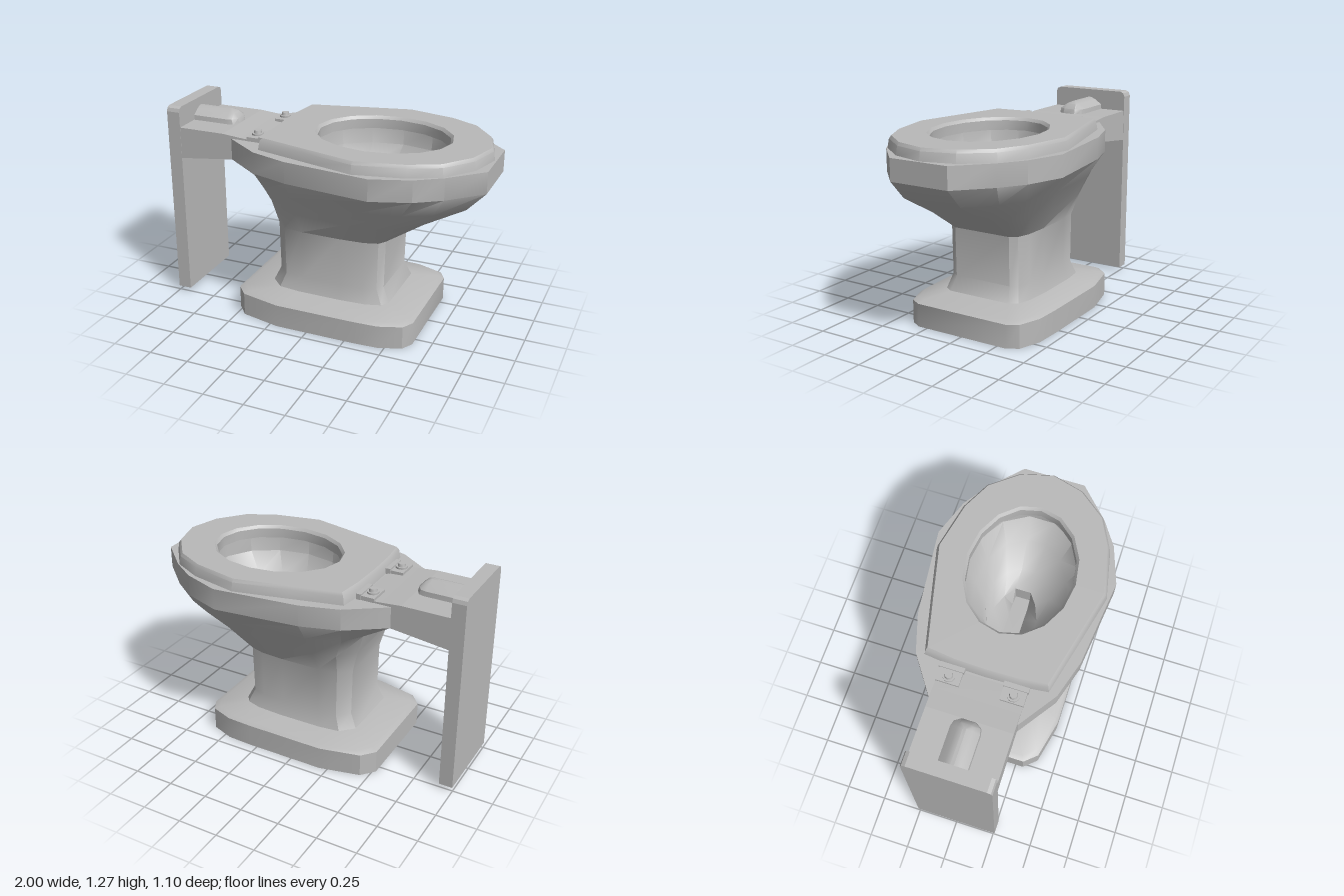
import * as THREE from 'three';
import { toCreasedNormals } from 'three/addons/utils/BufferGeometryUtils.js';

const porcelain = new THREE.MeshStandardMaterial({ color: 0xb9b9b9 });
porcelain.name = 'grey porcelain';

// Full ring from its +z half, listed front to back as [x, z]
function ring(y, half) {
  const back = half.filter(p => p[1] > 0).reverse().map(([x, z]) => [x, -z]);
  return [...half, ...back].map(([x, z]) => [x, y, z]);
}

// Half ellipse; offset 0 puts points on the axis, 0.5 straddles it
function halfEllipse(cx, rx, rz, n, offset) {
  const pts = [];
  const count = offset ? n : n + 1;
  for (let i = 0; i < count; i++) {
    const a = (i + offset) * Math.PI / n;
    const onAxis = !offset && (i === 0 || i === n);
    pts.push([cx + rx * Math.cos(a), onAxis ? 0 : rz * Math.sin(a)]);
  }
  return pts;
}

// Skin between rings, optionally closing the first and last
function loft(rings, capStart, capEnd) {
  const n = rings[0].length, pos = rings.flat(2), idx = [];
  for (let r = 0; r < rings.length - 1; r++) {
    for (let i = 0; i < n; i++) {
      const a = r * n + i, b = r * n + (i + 1) % n;
      idx.push(a, a + n, b, b, a + n, b + n);
    }
  }
  const cap = (r, flip) => {
    const c = pos.length / 3;
    for (let k = 0; k < 3; k++) pos.push(rings[r].reduce((s, p) => s + p[k], 0) / n);
    for (let i = 0; i < n; i++) {
      const a = r * n + i, b = r * n + (i + 1) % n;
      idx.push(c, flip ? b : a, flip ? a : b);
    }
  };
  if (capStart) cap(0, false);
  if (capEnd) cap(rings.length - 1, true);
  const g = new THREE.BufferGeometry();
  g.setAttribute('position', new THREE.Float32BufferAttribute(pos, 3));
  g.setIndex(idx);
  return toCreasedNormals(g, 0.55);
}

function extrude(points, depth) {
  const shape = new THREE.Shape(points.map(p => new THREE.Vector2(...p)));
  return new THREE.ExtrudeGeometry(shape, { depth, bevelEnabled: false });
}

export function createModel() {
  const model = new THREE.Group();
  const add = (name, geometry, x = 0, y = 0, z = 0) => {
    const m = new THREE.Mesh(geometry, porcelain);
    m.name = name;
    m.position.set(x, y, z);
    model.add(m);
    return m;
  };

  // Foot, neck and flared bowl up to the rim
  const foot = [[.64, .31], [.6, .38], [.46, .43], [.3, .437], [-.2, .437], [-.45, .38], [-.52, .3]];
  const neck = [[.415, .19], [.385, .235], [.3, .26], [.15, .268], [-.1, .265], [-.22, .25], [-.29, .18]];
  const rim = [[1, .19], [.81, .37], [.66, .47], [.43, .55], [-.1, .49], [-.33, .42], [-.56, .26]];
  const scaled = (half, cx, sx, sz) => half.map(([x, z]) => [cx + (x - cx) * sx, z * sz]);
  add('pedestalAndBowl', loft([
    ring(0, foot),
    ring(.145, foot),
    ring(.162, scaled(foot, .06, .94, .95)),
    ring(.19, scaled(neck, .06, 1.1, 1.1)),
    ring(.28, scaled(neck, .06, .98, 1)),
    ring(.585, neck),
    ring(.73, [[.64, .18], [.56, .28], [.42, .345], [.22, .365], [-.1, .34], [-.24, .3], [-.33, .2]]),
    ring(.87, [[.89, .19], [.74, .34], [.58, .42], [.35, .46], [-.1, .42], [-.3, .35], [-.38, .23]]),
    ring(.985, rim),
    ring(1.117, rim),
    ring(1.117, halfEllipse(.32, .46, .37, 7, .5)),
  ], true, false));

  // Inside of the bowl, falling to the drain
  const drain = [[.39, .05], [.32, .1], [.22, .14], [.1, .145], [.03, .12], [0, .07], [-.01, .03]];
  add('bowlInterior', loft([
    ring(1.117, halfEllipse(.32, .46, .37, 7, .5)),
    ring(1.0, halfEllipse(.32, .45, .36, 7, .5)),
    ring(.88, halfEllipse(.29, .38, .28, 7, .5)),
    ring(.78, halfEllipse(.24, .27, .2, 7, .5)),
    ring(.72, drain),
    ring(.6, [[.39, .045], [.33, .05], [.25, .05], [.11, .05], [.07, .04], [.04, .03], [.03, .015]]),
  ], false, true));

  // Seat ring with bevelled outer and inner edges
  const seat = [[.99, 0], [.935, .2], [.8, .37], [.62, .46], [.32, .524],
    [-.01, .446], [-.325, .37], [-.345, .2], [-.35, 0]];
  const hole = (y, d) => ring(y, halfEllipse(.32, .42 + d, .33 + d, 8, 0));
  add('seat', loft([
    hole(1.11, -.015),
    ring(1.11, seat),
    ring(1.17, scaled(seat, .32, .985, .98)),
    ring(1.188, scaled(seat, .32, .965, .955)),
    hole(1.188, 0),
    hole(1.17, -.015),
    hole(1.11, -.015),
  ]));

  // Shelf joining the bowl to the wall plate
  add('rearShelf', extrude([[-.93, .94], [-.55, .985], [-.36, 1.0], [-.36, 1.121],
    [-.5, 1.13], [-.62, 1.14], [-.93, 1.14]], .516), 0, 0, -.258);

  // Upright wall plate with softened top corners
  const plate = extrude([[-.26, .03], [.26, .03], [.26, 1.235], [.252, 1.257], [.23, 1.267],
    [-.23, 1.267], [-.252, 1.257], [-.26, 1.235]], .085);
  plate.rotateY(Math.PI / 2);
  add('wallPlate', plate, -1);

  // Water inlet hump on the shelf
  const hump = [[-.62, .04], [-.645, .08], [-.68, .09], [-.92, .09]];
  add('inletHump', loft([
    ring(1.13, hump),
    ring(1.17, hump.map(([x, z]) => [x - (x > -.9 ? .01 : 0), z * .96])),
    ring(1.2, [[-.66, .03], [-.67, .04], [-.69, .045], [-.92, .045]]),
    ring(1.215, [[-.69, .006], [-.695, .008], [-.7, .01], [-.92, .01]]),
  ], false, true));

  // Seat hinges with bolts
  for (const s of [1, -1]) {
    add('hingePlate', new THREE.BoxGeometry(.085, .03, .14), -.413, 1.128, s * .19);
    add('hingeBar', new THREE.BoxGeometry(.03, .045, .15), -.36, 1.13, s * .19);
    add('hingeWasher', new THREE.CylinderGeometry(.036, .036, .012, 12), -.415, 1.148, s * .19);
    add('hingeBolt', new THREE.CylinderGeometry(.022, .026, .02, 8), -.415, 1.162, s * .19);
  }
  return model;
}
